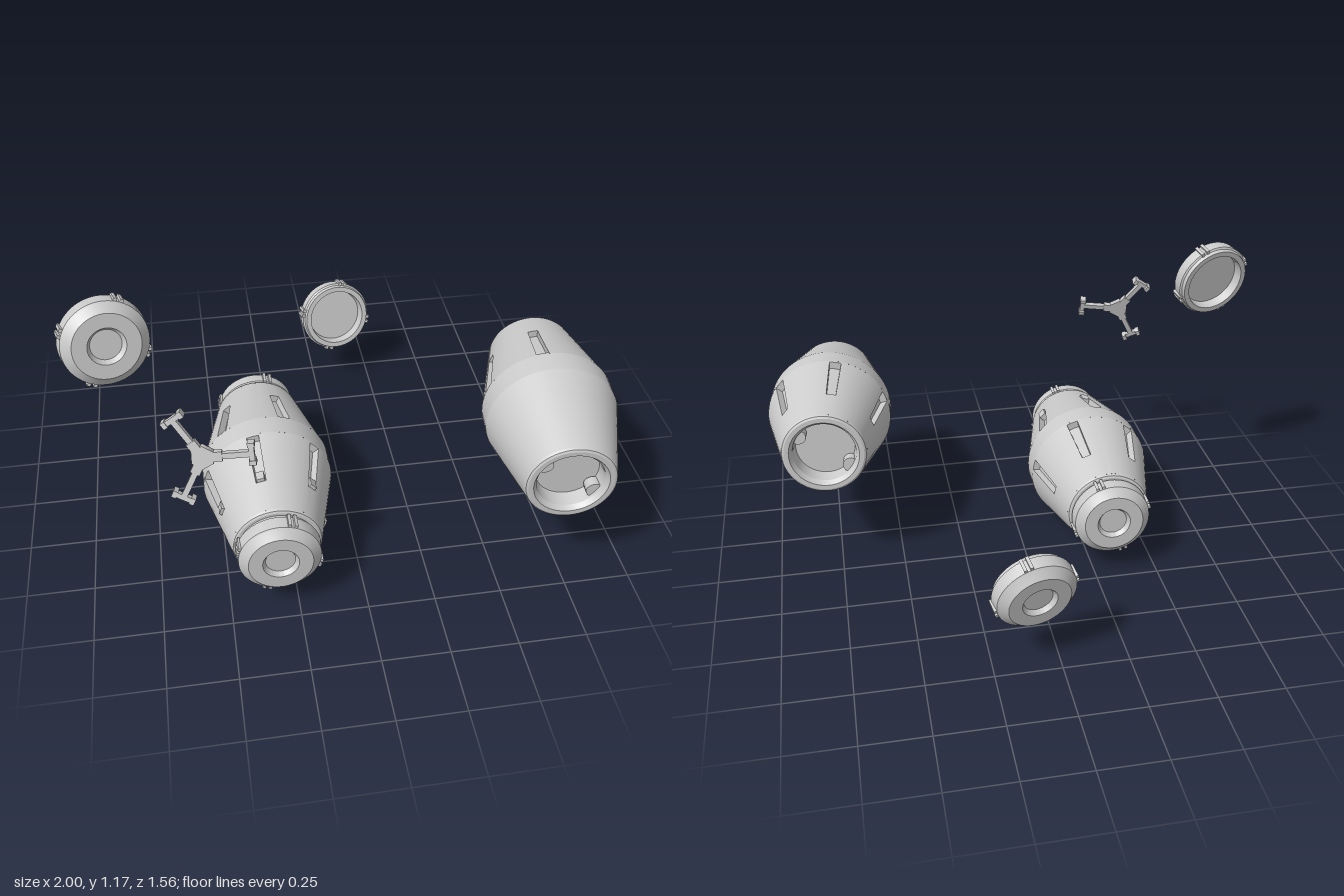
import * as THREE from 'three';
import { toCreasedNormals } from 'three/addons/utils/BufferGeometryUtils.js';

const material = new THREE.MeshStandardMaterial({ color: 0xcccccc });
const RAD = Math.PI / 180;
const Z = new THREE.Vector3(0, 0, 1);

function add(parent, name, geometry) {
  const mesh = new THREE.Mesh(geometry, material);
  mesh.name = name;
  parent.add(mesh);
  return mesh;
}

// Revolve [radius, z] points around the z axis
function lathe(points, segments = 64) {
  const g = new THREE.LatheGeometry(points.map(p => new THREE.Vector2(p[0], p[1])), segments);
  return toCreasedNormals(g.rotateX(Math.PI / 2), 0.4);
}

// Box placed at a radius and angle around z, with its x side pointing outwards
function radialBox(parent, name, size, radius, angle, z) {
  const box = add(parent, name, new THREE.BoxGeometry(...size));
  box.position.set(Math.cos(angle) * radius, Math.sin(angle) * radius, z);
  box.rotation.z = angle;
  return box;
}

const R = 0.247, R_END = 0.165, BAND = 0.045, SHOULDER = 0.37;
const taperRadius = z => R + (R_END - R) * (z - BAND) / (SHOULDER - BAND);

// Conical half shell with six recessed slots, the first at angle start
function slottedTaper(start) {
  const pos = [];
  const p = (a, z, depth = 0) => {
    const r = taperRadius(z) - depth;
    return [Math.cos(a) * r, Math.sin(a) * r, z];
  };
  const quad = (a, b, c, d) => pos.push(...a, ...b, ...c, ...a, ...c, ...d);
  const patch = (a0, a1, z0, z1, d = 0) =>
    quad(p(a0, z0, d), p(a1, z0, d), p(a1, z1, d), p(a0, z1, d));
  const half = 0.095, s0 = 0.052, s1 = 0.25, depth = 0.028, strips = 9;
  for (let k = 0; k < 6; k++) {
    const a = start + k * Math.PI / 3, l = a - half, r = a + half;
    const step = (Math.PI / 3 - 2 * half) / strips;
    for (let i = 0; i < strips; i++) patch(r + i * step, r + (i + 1) * step, BAND, SHOULDER);
    for (const [u, v] of [[l, a], [a, r]]) {
      patch(u, v, BAND, s0);
      patch(u, v, s1, SHOULDER);
      patch(u, v, s0, s1, depth);
      // End walls of the slot
      quad(p(u, s0), p(v, s0), p(v, s0, depth), p(u, s0, depth));
      quad(p(u, s1, depth), p(v, s1, depth), p(v, s1), p(u, s1));
    }
    // Side walls of the slot
    quad(p(l, s0), p(l, s0, depth), p(l, s1, depth), p(l, s1));
    quad(p(r, s0, depth), p(r, s0), p(r, s1), p(r, s1, depth));
  }
  const g = new THREE.BufferGeometry();
  g.setAttribute('position', new THREE.Float32BufferAttribute(pos, 3));
  return toCreasedNormals(g, 0.4);
}

// Half of a barrel along +z: taper, rounded lip and hollow end with two lugs
function barrelHalf(name, slotAngle) {
  const half = new THREE.Group();
  half.name = name;
  add(half, 'taper', slotAngle === null
    ? lathe([[R, BAND], [R_END, SHOULDER]])
    : slottedTaper(slotAngle * RAD));
  add(half, 'endRim', lathe([[R_END, SHOULDER], [0.161, 0.379], [0.153, 0.383], [0.135, 0.383],
    [0.122, 0.365], [0.114, 0.31], [0, 0.31]]));
  for (const deg of [146, -34]) {
    const lug = add(half, 'lockLug', new THREE.CylinderGeometry(0.03, 0.03, 0.04, 16));
    lug.rotation.x = Math.PI / 2;
    lug.position.set(Math.cos(deg * RAD) * 0.115, Math.sin(deg * RAD) * 0.115, 0.335);
  }
  return half;
}

function barrel(name, frontSlots, backSlots) {
  const body = new THREE.Group();
  body.name = name;
  add(body, 'middleBand', lathe([[R, -BAND], [R, BAND]]));
  const back = barrelHalf('backHalf', backSlots);
  back.rotation.y = Math.PI;
  body.add(barrelHalf('frontHalf', frontSlots), back);
  return body;
}

// Hollow cap with its rim at z = 0, a dimpled outer face and four paired clips
function cap(name, clipStart) {
  const group = new THREE.Group();
  group.name = name;
  add(group, 'shell', lathe([[0, 0.04], [0.116, 0.04], [0.122, 0], [0.143, 0], [0.147, 0.015],
    [0.154, 0.02], [0.15, 0.068], [0.142, 0.074], [0.117, 0.098], [0.066, 0.098],
    [0.054, 0.08], [0, 0.08]]));
  for (let k = 0; k < 4; k++) {
    const a = clipStart * RAD + k * Math.PI / 2;
    for (const side of [-1, 1])
      radialBox(group, 'clip', [0.018, 0.012, 0.056], 0.152, a + side * 0.075, 0.04);
  }
  return group;
}

function aim(object, x, y, z, direction) {
  object.position.set(x, y, z);
  object.quaternion.setFromUnitVectors(Z, new THREE.Vector3(...direction).normalize());
  return object;
}

// Three-armed key with a cross piece on each arm
function lockingKey() {
  const key = new THREE.Group();
  key.name = 'lockingKey';
  const hub = add(key, 'hub', new THREE.CylinderGeometry(0.042, 0.042, 0.022, 6).toNonIndexed());
  hub.rotation.x = Math.PI / 2;
  for (let k = 0; k < 3; k++) {
    const a = (4 + k * 120) * RAD;
    radialBox(key, 'armRoot', [0.04, 0.034, 0.022], 0.045, a, 0);
    radialBox(key, 'arm', [0.13, 0.02, 0.02], 0.095, a, 0);
    radialBox(key, 'crossPiece', [0.018, 0.075, 0.02], 0.162, a, 0);
    for (const s of [-1, 1]) {
      const tip = radialBox(key, 'crossTip', [0.024, 0.016, 0.034], 0.162, a, -0.004);
      tip.position.x -= Math.sin(a) * s * 0.032;
      tip.position.y += Math.cos(a) * s * 0.032;
    }
  }
  return key;
}

export function createModel() {
  const model = new THREE.Group();
  model.name = 'barrelSet';

  // Closed barrel with both caps fitted
  const closed = barrel('closedBarrel', 102, 49);
  closed.position.set(-0.315, 0.25, 0.24);
  for (let k = 0; k < 6; k++) {
    const guide = radialBox(closed, 'slotGuide', [0.026, 0.03, 0.04], 0.192, (102 + 60 * k) * RAD, 0.226);
    guide.name = 'slotGuide';
  }
  const frontCap = cap('frontCap', 71);
  frontCap.position.z = 0.382;
  const backCap = cap('backCap', 19);
  backCap.rotation.y = Math.PI;
  backCap.position.z = -0.378;
  closed.add(frontCap, backCap);
  model.add(closed);

  // Open barrel, slotted on its back half only
  model.add(aim(barrel('openBarrel', null, 20), 0.748, 0.534, 0.375, [-0.095, -0.045, 1]));

  // Loose caps and key
  model.add(aim(cap('looseFrontCap', 66), -0.855, 1.012, 0.31, [0.22, 0.2, 0.95]));
  const rear = new THREE.Group();
  rear.name = 'looseBackCap';
  const rearCap = cap('capBody', 105);
  rearCap.rotation.y = Math.PI;
  rear.add(rearCap);
  model.add(aim(rear, 0.105, 0.338, -0.665, [0.18, 0.22, 0.95]));
  model.add(aim(lockingKey(), -0.555, 0.765, 0.695, [-0.16, 0.26, 0.95]));
  return model;
}
